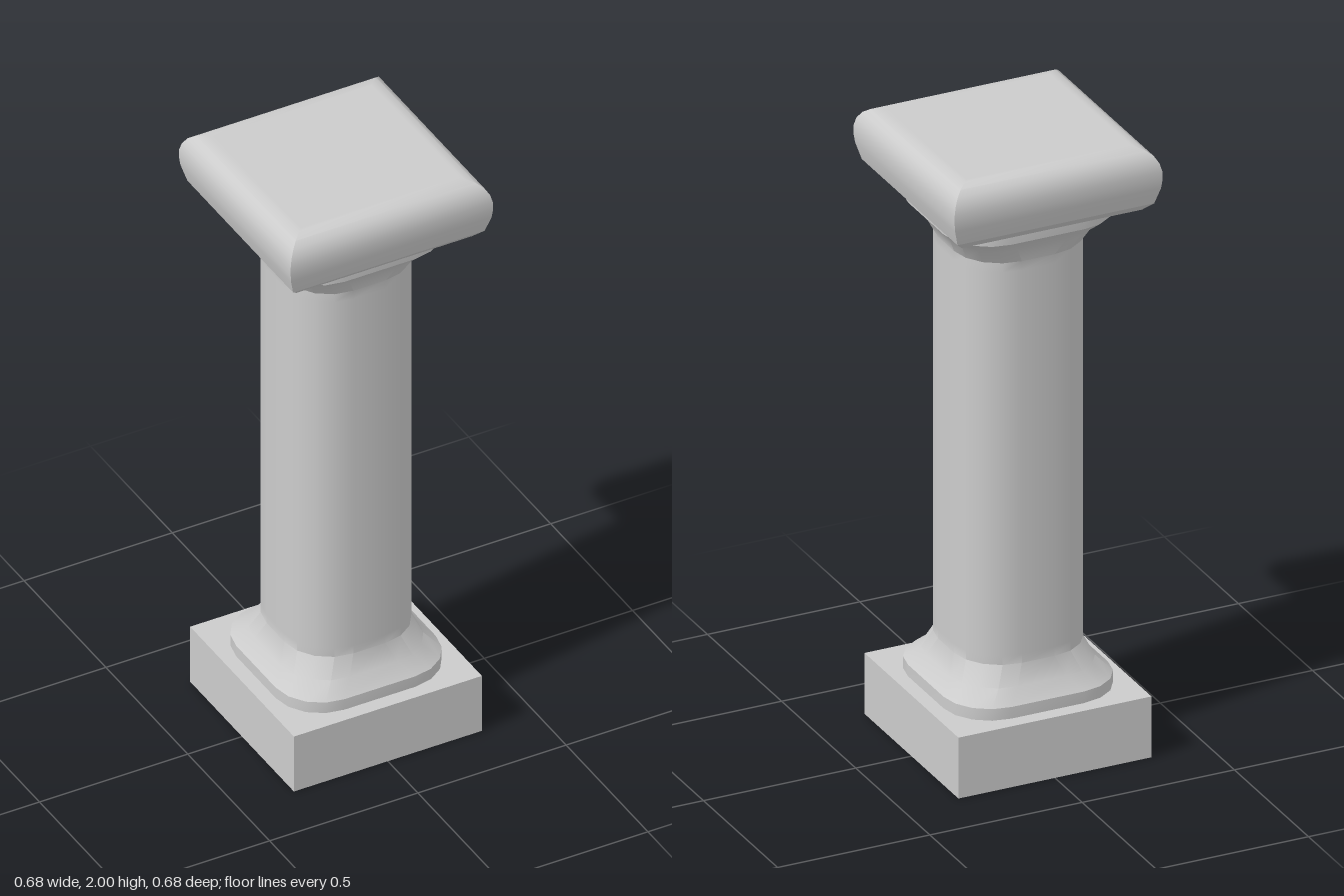
import * as THREE from 'three';
import { toCreasedNormals } from 'three/addons/utils/BufferGeometryUtils.js';

const material = new THREE.MeshStandardMaterial({ color: 0xcccccc });

// Square outline of half-width h; corners rounded by radius r in n steps (n = 0 keeps them sharp)
function squareOutline(h, r, n) {
  const points = [];
  for (let c = 0; c < 4; c++) {
    const mid = (c + 0.5) * Math.PI / 2;
    const sx = Math.sign(Math.cos(mid)), sz = -Math.sign(Math.sin(mid));
    for (let k = 0; k <= n; k++) {
      const a = (c + (n ? k / n : 0)) * Math.PI / 2;
      points.push(n
        ? [sx * (h - r) + r * Math.cos(a), sz * (h - r) - r * Math.sin(a)]
        : [sx * h, sz * h]);
    }
  }
  return points;
}

// Closed solid skinned over a profile of [half-width, y] pairs, bottom to top
function loftSquare(profile, r = 0, n = 0) {
  const positions = [], index = [];
  const count = 4 * (n + 1);
  for (const [h, y] of profile) {
    for (const [x, z] of squareOutline(h, r, n)) positions.push(x, y, z);
  }
  const bottom = positions.length / 3, top = bottom + 1;
  positions.push(0, profile[0][1], 0, 0, profile.at(-1)[1], 0);
  const last = (profile.length - 1) * count;
  for (let i = 0; i < count; i++) {
    const j = (i + 1) % count;
    for (let row = 0; row < last; row += count) {
      index.push(row + i, row + j, row + count + j, row + i, row + count + j, row + count + i);
    }
    index.push(bottom, j, i, top, last + i, last + j);
  }
  const geometry = new THREE.BufferGeometry();
  geometry.setAttribute('position', new THREE.Float32BufferAttribute(positions, 3));
  geometry.setIndex(index);
  return toCreasedNormals(geometry, THREE.MathUtils.degToRad(28));
}

export function createModel() {
  const group = new THREE.Group();
  const add = (name, geometry, y = 0) => {
    const mesh = new THREE.Mesh(geometry, material);
    mesh.name = name;
    mesh.position.y = y;
    group.add(mesh);
  };

  // Square block the column stands on
  add('plinth', new THREE.BoxGeometry(0.634, 0.2, 0.634), 0.1);

  // Rounded-square shaft flaring to a flat band at each end
  add('shaft', loftSquare([
    [0.27, 0.2], [0.27, 0.238], [0.23, 0.28], [0.204, 0.34], [0.204, 0.37],
    [0.204, 1.63], [0.204, 1.66], [0.23, 1.715], [0.27, 1.757], [0.27, 1.797],
  ], 0.15, 4));

  // Cushion-edged square capital with mitred corners
  add('capital', loftSquare([
    [0.296, 1.795], [0.323, 1.822], [0.338, 1.875], [0.341, 1.9], [0.341, 1.93],
    [0.335, 1.955], [0.322, 1.977], [0.303, 1.991], [0.277, 2], [0.265, 2],
  ]));

  return group;
}
